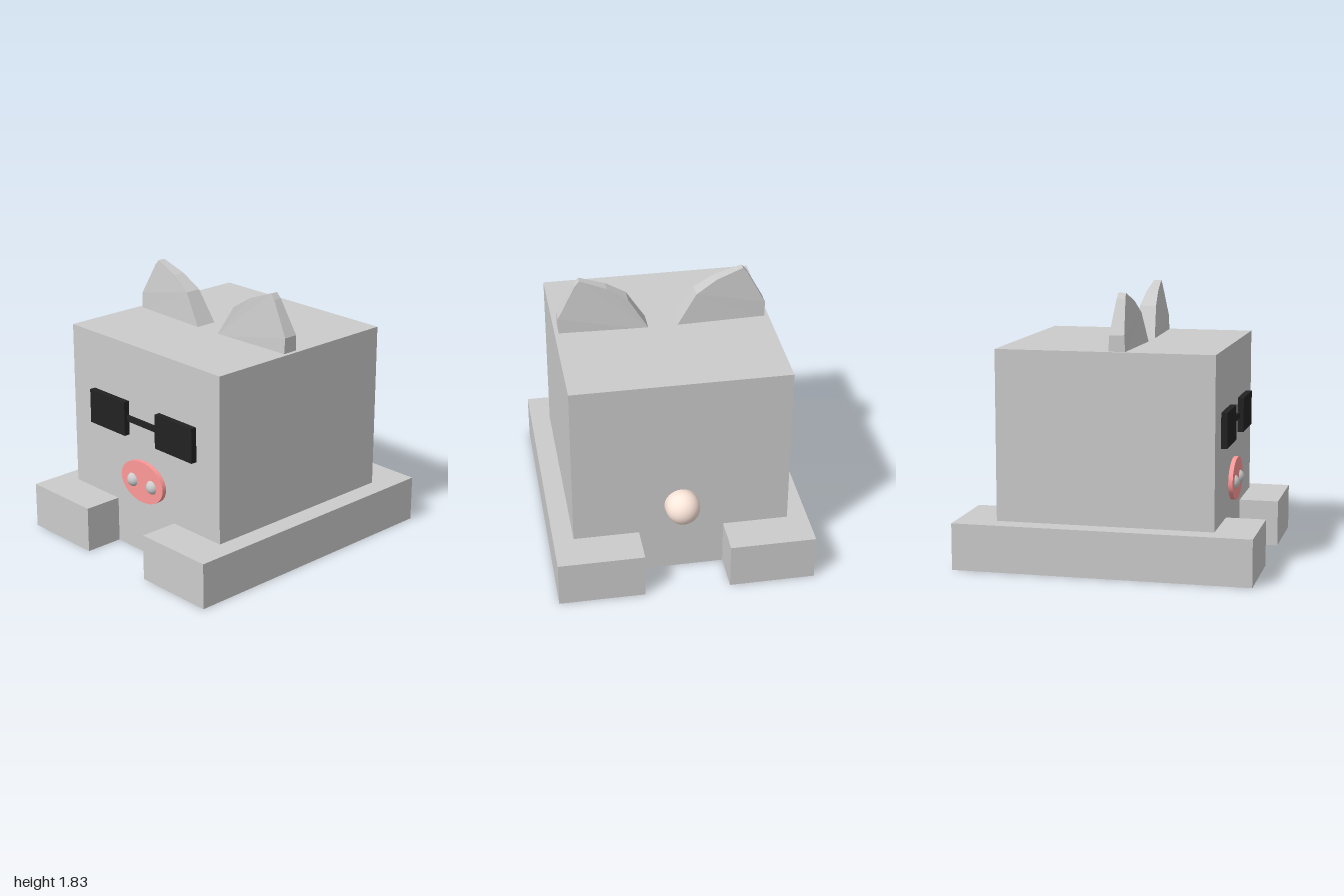
import * as THREE from 'three';

const grey = new THREE.MeshStandardMaterial({ color: 0xcccccc });
const flatGrey = new THREE.MeshStandardMaterial({ color: 0xcccccc, flatShading: true });
const black = new THREE.MeshStandardMaterial({ color: 0x222222 });
const pink = new THREE.MeshStandardMaterial({ color: 0xff9999 });
const skin = new THREE.MeshStandardMaterial({ color: 0xffe8dc });

function add(parent, name, geometry, material, x = 0, y = 0, z = 0) {
  const mesh = new THREE.Mesh(geometry, material);
  mesh.name = name;
  mesh.position.set(x, y, z);
  parent.add(mesh);
  return mesh;
}

// Box given by its minimum and maximum corners
function addBox(parent, name, material, [x0, y0, z0], [x1, y1, z1]) {
  const geometry = new THREE.BoxGeometry(x1 - x0, y1 - y0, z1 - z0);
  return add(parent, name, geometry, material, (x0 + x1) / 2, (y0 + y1) / 2, (z0 + z1) / 2);
}

// Faceted ear slab, thinner towards its tip and outer edge
function earGeometry(side) {
  const outline = [[0.09, 1.445], [0.70, 1.445], [0.702, 1.565], [0.58, 1.79],
    [0.55, 1.826], [0.37, 1.76], [0.23, 1.67]];
  const shape = new THREE.Shape(outline.map(([x, y]) => new THREE.Vector2(side * x, y)));
  const geometry = new THREE.ExtrudeGeometry(shape, { depth: 1, bevelEnabled: false });
  const p = geometry.attributes.position;
  for (let i = 0; i < p.count; i++) {
    const t = Math.max(0, (p.getY(i) - 1.46) / 0.366);
    const outer = Math.max(0, (Math.abs(p.getX(i)) - 0.1) / 0.6);
    const half = 0.078 - 0.022 * outer - 0.036 * Math.pow(t, 1.4);
    p.setZ(i, 0.081 + (p.getZ(i) > 0.5 ? half : -half));
  }
  geometry.computeVertexNormals();
  return geometry;
}

export function createModel() {
  const model = new THREE.Group();
  model.name = 'blockPig';

  addBox(model, 'body', grey, [-0.728, 0, -0.73], [0.728, 1.46, 0.73]);

  // Glasses
  const glasses = new THREE.Group();
  glasses.name = 'glasses';
  model.add(glasses);
  addBox(glasses, 'bridge', black, [-0.16, 0.92, 0.72], [0.16, 0.96, 0.748]);

  // Snout
  const disc = new THREE.CylinderGeometry(1, 1, 0.04, 48).rotateX(Math.PI / 2).scale(0.21, 0.145, 1);
  add(model, 'snout', disc, pink, 0, 0.529, 0.74);

  // Paired parts
  for (const side of [-1, 1]) {
    const label = side > 0 ? 'left' : 'right';
    const foot = new THREE.BoxGeometry(0.578, 0.315, 2);
    add(model, label + 'Foot', foot, grey, side * 0.576, 0.1575, 0);
    add(model, label + 'Ear', earGeometry(side), flatGrey);
    const lens = new THREE.BoxGeometry(0.357, 0.238, 0.05);
    add(glasses, label + 'Lens', lens, black, side * 0.331, 0.94, 0.747);
    add(model, label + 'Nostril', new THREE.SphereGeometry(0.052, 24, 16), grey, side * 0.096, 0.52, 0.74);
  }

  // Stubby tail, sloping down into the back
  const tail = add(model, 'tail', new THREE.CapsuleGeometry(0.115, 0.2, 10, 24), skin, 0, 0.506, -0.694);
  tail.rotation.x = -Math.PI / 2 + 0.283;

  return model;
}
